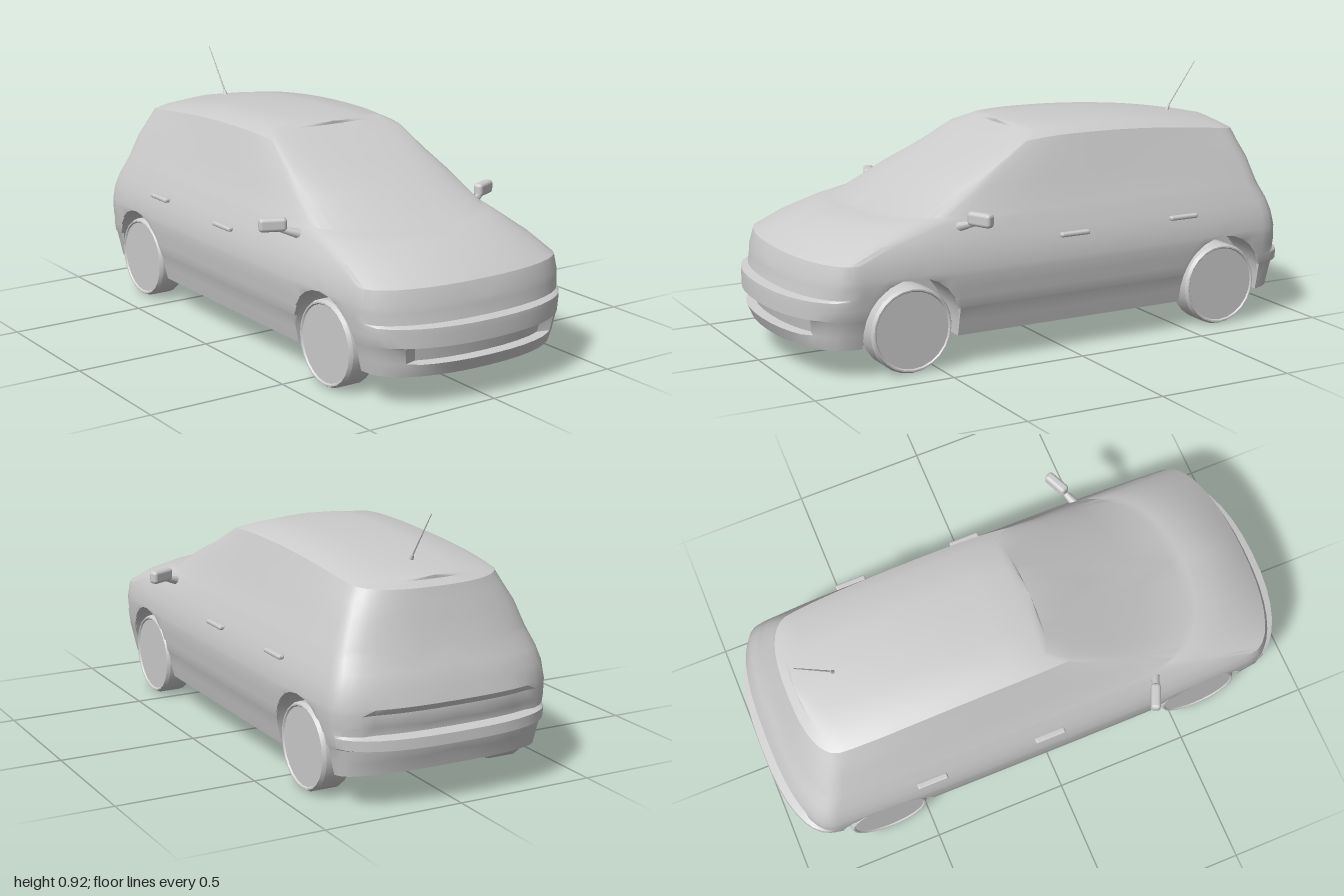
import * as THREE from 'three';
import { toCreasedNormals } from 'three/addons/utils/BufferGeometryUtils.js';
import { RoundedBoxGeometry } from 'three/addons/geometries/RoundedBoxGeometry.js';

const grey = new THREE.MeshStandardMaterial({ color: 0xcccccc, side: THREE.DoubleSide });
const AXLES = [0.6, -0.65];
const ARCH_R = 0.175, ARCH_Y = 0.165, WELL_X = 0.27;
const SIDE_F = 0.79, SIDE_R = -0.83;

// Plan outlines from sill to roof:
// height, nose z, tail z, half width, z of front corner, z of rear corner, nose recess, tail recess
const LAYERS = [
  [0.11, 0.965, -0.955, 0.385],
  [0.155, 0.985, -0.965, 0.395],
  [0.16, 0.985, -0.967, 0.396, SIDE_F, SIDE_R, 0.035],
  [0.21, 0.995, -0.972, 0.407, SIDE_F, SIDE_R, 0.035],
  [0.215, 1.0, -1.0, 0.409],
  [0.25, 1.0, -0.997, 0.414],
  [0.258, 1.0, -0.968, 0.415, SIDE_F, SIDE_R, 0, 0.012],
  [0.28, 0.998, -0.969, 0.418, SIDE_F, SIDE_R, 0, 0.012],
  [0.287, 0.965, -0.97, 0.419, SIDE_F, SIDE_R, 0, 0.01],
  [0.325, 0.957, -0.967, 0.422, SIDE_F, SIDE_R, 0, 0.01],
  [0.345, 0.955, -0.967, 0.422],
  [0.4, 0.935, -0.95, 0.413],
  [0.45, 0.865, -0.93, 0.396, 0.66, -0.82],
  [0.495, 0.765, -0.905, 0.378, 0.49, -0.8],
  [0.513, 0.68, -0.9, 0.371, 0.42, -0.79],
  [0.517, 0.635, -0.898, 0.369, 0.405, -0.79],
  [0.6, 0.46, -0.872, 0.337, 0.3, -0.77],
  [0.68, 0.29, -0.852, 0.306, 0.21, -0.74],
  [0.747, 0.165, -0.84, 0.281, 0.1, -0.72],
  [0.769, 0.07, -0.81, 0.235, 0.03, -0.7],
];

// Stations along one flank; those inside a wheel arch carry the arch height
function sideStations() {
  const list = [{ z: SIDE_F, arch: 0 }];
  AXLES.forEach((c, k) => {
    list.push({ z: c + ARCH_R, arch: 0 });
    for (let i = 0; i <= 12; i++) {
      const a = (i / 12) * Math.PI;
      list.push({ z: c + ARCH_R * Math.cos(a), arch: ARCH_Y + ARCH_R * Math.sin(a) });
    }
    list.push({ z: c - ARCH_R, arch: 0 });
    if (k === 0) for (const z of [0.28, 0.1, -0.08, -0.28]) list.push({ z, arch: 0 });
  });
  list.push({ z: SIDE_R, arch: 0 });
  return list;
}

// Roof falls away towards screen and tail; the sill rises at the tail
function heightAt(y, z) {
  const d = z < -0.15 ? 0.14 * (z + 0.15) ** 2 : z > -0.1 ? 0.4 * (z + 0.1) ** 2 : 0;
  const roof = Math.max(0, (y - 0.62) / 0.16) * Math.min(d, 0.07);
  const tail = y < 0.2 ? Math.max(0, SIDE_R - z) * 0.15 : 0;
  return y - roof + tail;
}

// Half outline of a layer, from nose centre round the +x flank to tail centre
function outline([y, zf, zr, hw, cf = SIDE_F, cr = SIDE_R, noseCut = 0, tailCut = 0]) {
  const pts = [], N = 9;
  const corner = (i, cz, ez, n, cut, cutX) => {
    const a = (i / N) * Math.PI / 2;
    const x = i === N ? 0 : hw * 0.97 * Math.cos(a) ** (2 / n);
    let z = cz + (ez - cz) * Math.sin(a) ** (2 / n);
    if (x < cutX) z -= Math.sign(ez - cz) * cut;
    pts.push({ x, y: heightAt(y, z), z, arch: 0 });
  };
  for (let i = N; i > 0; i--) corner(i, cf, zf, 2.2, noseCut, 0.28);
  for (const s of sideStations()) {
    const t = (s.z - SIDE_R) / (SIDE_F - SIDE_R);
    const z = cr + (cf - cr) * t;
    const x = hw * (1 - 0.03 * (2 * t - 1) ** 4);
    pts.push({ x, y: Math.max(heightAt(y, z), s.arch), z, arch: s.arch });
  }
  for (let i = 1; i <= N; i++) corner(i, cr, zr, 2.5, tailCut, 0.32);
  return pts;
}

function bodyGeometry() {
  const rows = LAYERS.map(outline);
  const sill = rows[0], top = rows[rows.length - 1];
  const floorY = (p) => heightAt(0.11, p.z);
  const wellX = (p) => (p.arch ? WELL_X : p.x);
  // Floor, wheel wells, shell, then the crowned roof
  const grid = [
    sill.map((p) => ({ x: 0, y: floorY(p), z: p.z })),
    sill.map((p) => ({ x: wellX(p), y: floorY(p), z: p.z })),
    sill.map((p) => ({ x: wellX(p), y: p.y, z: p.z })),
    ...rows,
    top.map((p) => ({ x: p.x * 0.5, y: p.y + 0.009, z: p.z })),
    top.map((p) => ({ x: 0, y: p.y + 0.012, z: p.z })),
  ];
  const pos = [], index = [], n = sill.length;
  for (const m of [1, -1]) {
    const base = pos.length / 3;
    for (const row of grid) for (const p of row) pos.push(m * p.x, p.y, p.z);
    for (let i = 0; i < grid.length - 1; i++) {
      for (let j = 0; j < n - 1; j++) {
        const a = base + i * n + j, b = a + 1, c = b + n, d = a + n;
        if (m > 0) index.push(a, b, c, a, c, d);
        else index.push(a, c, b, a, d, c);
      }
    }
  }
  const g = new THREE.BufferGeometry();
  g.setAttribute('position', new THREE.Float32BufferAttribute(pos, 3));
  g.setIndex(index);
  return toCreasedNormals(g, 0.5);
}

function wheelGeometry() {
  // Tyre with bevelled shoulders and a slightly sunken disc
  const profile = [[0, -0.048], [0.134, -0.048], [0.138, -0.053], [0.143, -0.053], [0.15, -0.04],
    [0.15, 0.04], [0.143, 0.053], [0.138, 0.053], [0.134, 0.048], [0, 0.048]];
  const g = new THREE.LatheGeometry(profile.map(([r, h]) => new THREE.Vector2(r, h)), 24);
  g.rotateZ(-Math.PI / 2);
  return toCreasedNormals(g, 0.45);
}

// Rod between two points
function rod(name, a, b, r0, r1, sides = 8) {
  const p = new THREE.Vector3(...a), q = new THREE.Vector3(...b);
  const dir = q.clone().sub(p);
  const m = new THREE.Mesh(new THREE.CylinderGeometry(r1, r0, dir.length(), sides), grey);
  m.position.copy(p).add(q).multiplyScalar(0.5);
  m.quaternion.setFromUnitVectors(new THREE.Vector3(0, 1, 0), dir.normalize());
  m.name = name;
  return m;
}

export function createModel() {
  const car = new THREE.Group();
  car.name = 'car';
  const add = (name, geo, x, y, z) => {
    const m = new THREE.Mesh(geo, grey);
    m.name = name;
    m.position.set(x, y, z);
    car.add(m);
    return m;
  };

  add('body', bodyGeometry(), 0, 0, 0);

  const wheel = wheelGeometry();
  const handle = new RoundedBoxGeometry(0.024, 0.016, 0.115, 2, 0.007);
  const mirror = new RoundedBoxGeometry(0.096, 0.048, 0.036, 2, 0.013);
  for (const s of [1, -1]) {
    const side = s > 0 ? 'left' : 'right';
    add(side + 'FrontWheel', wheel, s * 0.347, 0.155, AXLES[0]);
    add(side + 'RearWheel', wheel, s * 0.347, 0.155, AXLES[1]);
    add(side + 'FrontDoorHandle', handle, s * 0.412, 0.422, -0.018);
    add(side + 'RearDoorHandle', handle, s * 0.41, 0.43, -0.472);

    // Door mirror on a short arm
    add(side + 'Mirror', mirror, s * 0.452, 0.521, 0.372).rotation.y = s * 0.42;
    car.add(rod(side + 'MirrorArm', [s * 0.37, 0.485, 0.41], [s * 0.43, 0.505, 0.385], 0.017, 0.01));
  }

  // Roof aerial
  car.add(rod('aerialBase', [0, 0.73, -0.66], [0, 0.762, -0.675], 0.01, 0.005));
  car.add(rod('aerial', [0, 0.755, -0.67], [0, 0.922, -0.79], 0.003, 0.0015, 6));
  return car;
}
